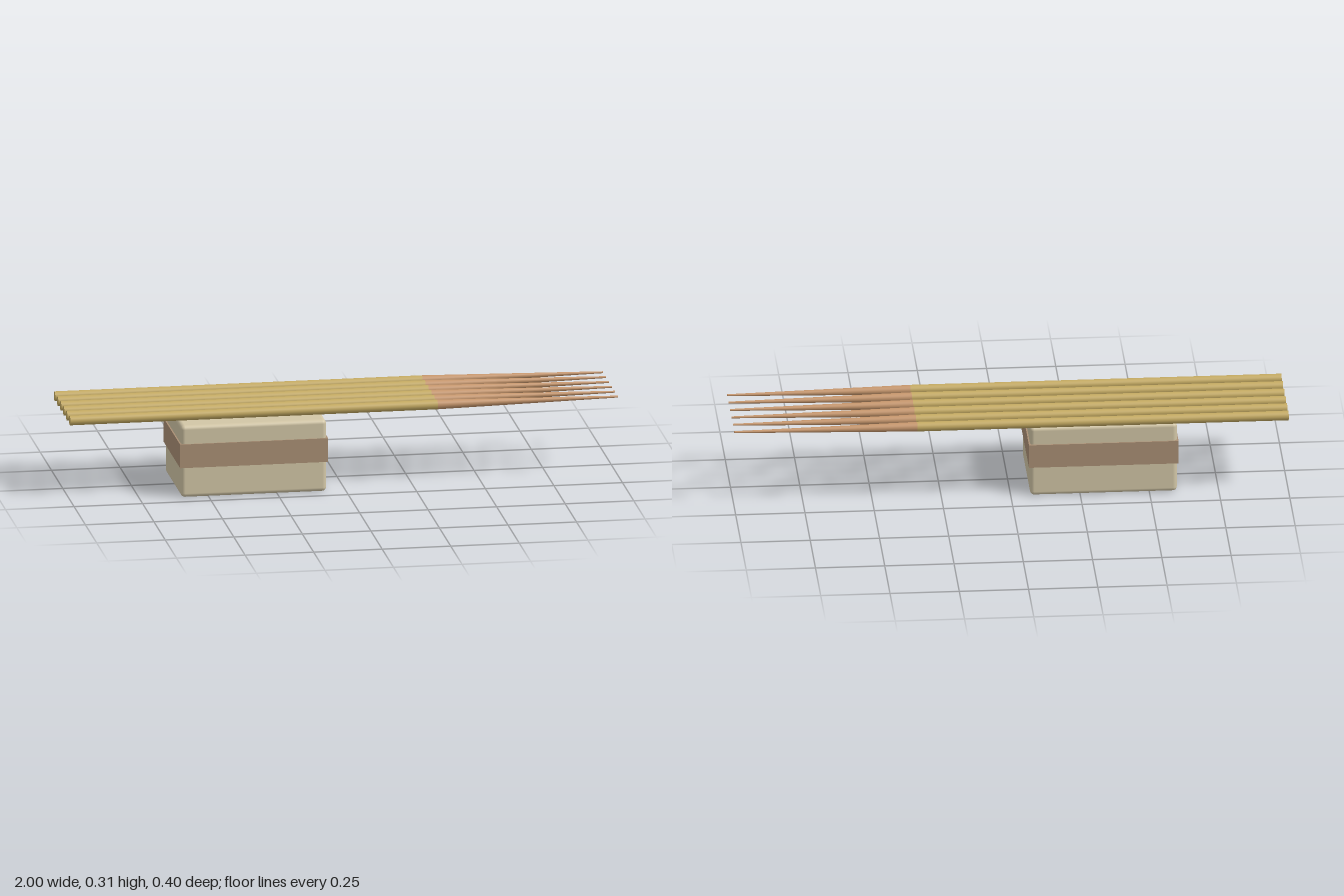
import * as THREE from 'three';
import { RoundedBoxGeometry } from 'three/addons/geometries/RoundedBoxGeometry.js';

const mat = (name, color) => {
  const m = new THREE.MeshStandardMaterial({ color });
  m.name = name;
  return m;
};

export function createModel() {
  const stone = mat('pale stone', 0xd2c6a6);
  const bandTan = mat('band brown', 0xaa9075);
  const bamboo = mat('bamboo', 0xc4aa62);
  const tipWood = mat('tip wood', 0xc6966c);

  const model = new THREE.Group();
  model.name = 'chopsticksOnRest';
  const add = (parent, name, geometry, material, x, y, z) => {
    const mesh = new THREE.Mesh(geometry, material);
    mesh.name = name;
    mesh.position.set(x, y, z);
    parent.add(mesh);
  };

  // Rounded block with a slightly proud band around it
  add(model, 'block', new RoundedBoxGeometry(0.53, 0.267, 0.355, 4, 0.015), stone, -0.335, 0.1335, 0.0185);
  add(model, 'band', new THREE.BoxGeometry(0.54, 0.088, 0.365), bandTan, -0.335, 0.156, 0.0185);

  // Six sticks lying along x: straight shaft, then a long tapered tip
  const joint = 0.34;
  const shaft = new THREE.CylinderGeometry(0.0175, 0.0175, joint + 1, 20).rotateZ(-Math.PI / 2);
  const tip = new THREE.CylinderGeometry(0.0035, 0.0175, 1 - joint, 20).rotateZ(-Math.PI / 2);
  for (let i = 0; i < 6; i++) {
    const stick = new THREE.Group();
    stick.name = `stick${i + 1}`;
    stick.position.set(0, 0.295, 0.153 - i * 0.067);
    add(stick, 'shaft', shaft, bamboo, (joint - 1) / 2, 0, 0);
    add(stick, 'tip', tip, tipWood, (joint + 1) / 2, 0, 0);
    model.add(stick);
  }
  return model;
}
